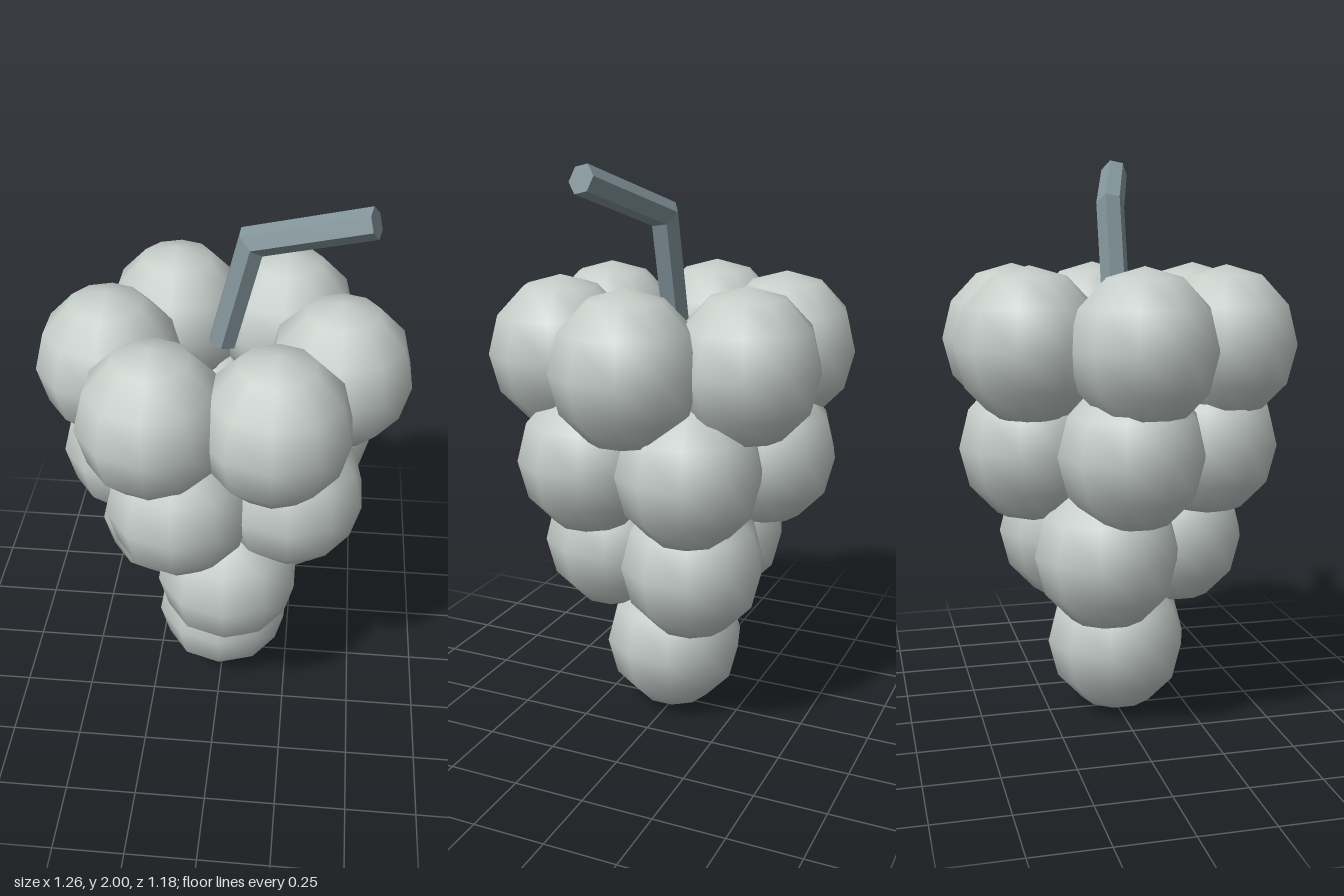
import * as THREE from 'three';

// Six-sided stalk following a bent path, with mitred joints and flat end caps
function bentStalk(points, radius, sides) {
  const dirs = points.slice(1).map((p, i) => p.clone().sub(points[i]).normalize());
  const side = new THREE.Vector3(0, 0, 1);
  const across = new THREE.Vector3().crossVectors(dirs[0], side).normalize();
  const rings = [[]];
  for (let i = 0; i < sides; i++) {
    const a = (i / sides) * Math.PI * 2;
    rings[0].push(points[0].clone()
      .addScaledVector(side, radius * Math.cos(a))
      .addScaledVector(across, radius * Math.sin(a)));
  }
  // Slide each ring along its segment onto the next joint plane
  dirs.forEach((d, k) => {
    const normal = d.clone().add(dirs[k + 1] || d);
    rings.push(rings[k].map((p) => {
      const t = points[k + 1].clone().sub(p).dot(normal) / d.dot(normal);
      return p.clone().addScaledVector(d, t);
    }));
  });

  const pos = [];
  const tri = (...corners) => corners.forEach((c) => pos.push(c.x, c.y, c.z));
  const last = rings.length - 1;
  for (let i = 0; i < sides; i++) {
    const j = (i + 1) % sides;
    for (let k = 0; k < last; k++) {
      const [a, b, c, d] = [rings[k][i], rings[k][j], rings[k + 1][j], rings[k + 1][i]];
      tri(a, b, c);
      tri(a, c, d);
    }
    tri(points[0], rings[0][j], rings[0][i]);
    tri(points[last], rings[last][i], rings[last][j]);
  }
  const geo = new THREE.BufferGeometry();
  geo.setAttribute('position', new THREE.Float32BufferAttribute(pos, 3));
  geo.computeVertexNormals();
  return geo;
}

export function createModel() {
  const model = new THREE.Group();
  model.name = 'grapeBunch';

  // Grapes: slightly tall ten-sided spheres in rings that narrow downwards
  const grapeMat = new THREE.MeshStandardMaterial({ color: 0xc5cdc9 });
  const grapeGeo = new THREE.SphereGeometry(0.252, 10, 6);
  grapeGeo.rotateY(Math.PI / 2);
  grapeGeo.scale(1, 1.05, 1);

  const rows = [
    { name: 'topGrapes', count: 6, radius: 0.39, y: 1.353, start: 0 },
    { name: 'upperGrapes', count: 5, radius: 0.324, y: 1.002, start: 40 },
    { name: 'lowerGrapes', count: 3, radius: 0.232, y: 0.643, start: 81 },
    { name: 'bottomGrape', count: 1, radius: 0, y: 0.2655, start: 0 },
  ];
  for (const { name, count, radius, y, start } of rows) {
    const row = new THREE.Group();
    row.name = name;
    for (let i = 0; i < count; i++) {
      const a = THREE.MathUtils.degToRad(start + (360 * i) / count);
      const grape = new THREE.Mesh(grapeGeo, grapeMat);
      grape.name = 'grape';
      grape.position.set(radius * Math.cos(a), y, radius * Math.sin(a));
      row.add(grape);
    }
    model.add(row);
  }

  // Stem: rises from the middle, then bends to the left and forwards
  const stemPath = [
    new THREE.Vector3(-0.005, 1.45, 0),
    new THREE.Vector3(0.088, 1.82, 0),
    new THREE.Vector3(0.467, 1.952, 0.105),
  ];
  const stem = new THREE.Mesh(
    bentStalk(stemPath, 0.05, 6),
    new THREE.MeshStandardMaterial({ color: 0x82949a, flatShading: true })
  );
  stem.name = 'stem';
  model.add(stem);

  return model;
}
